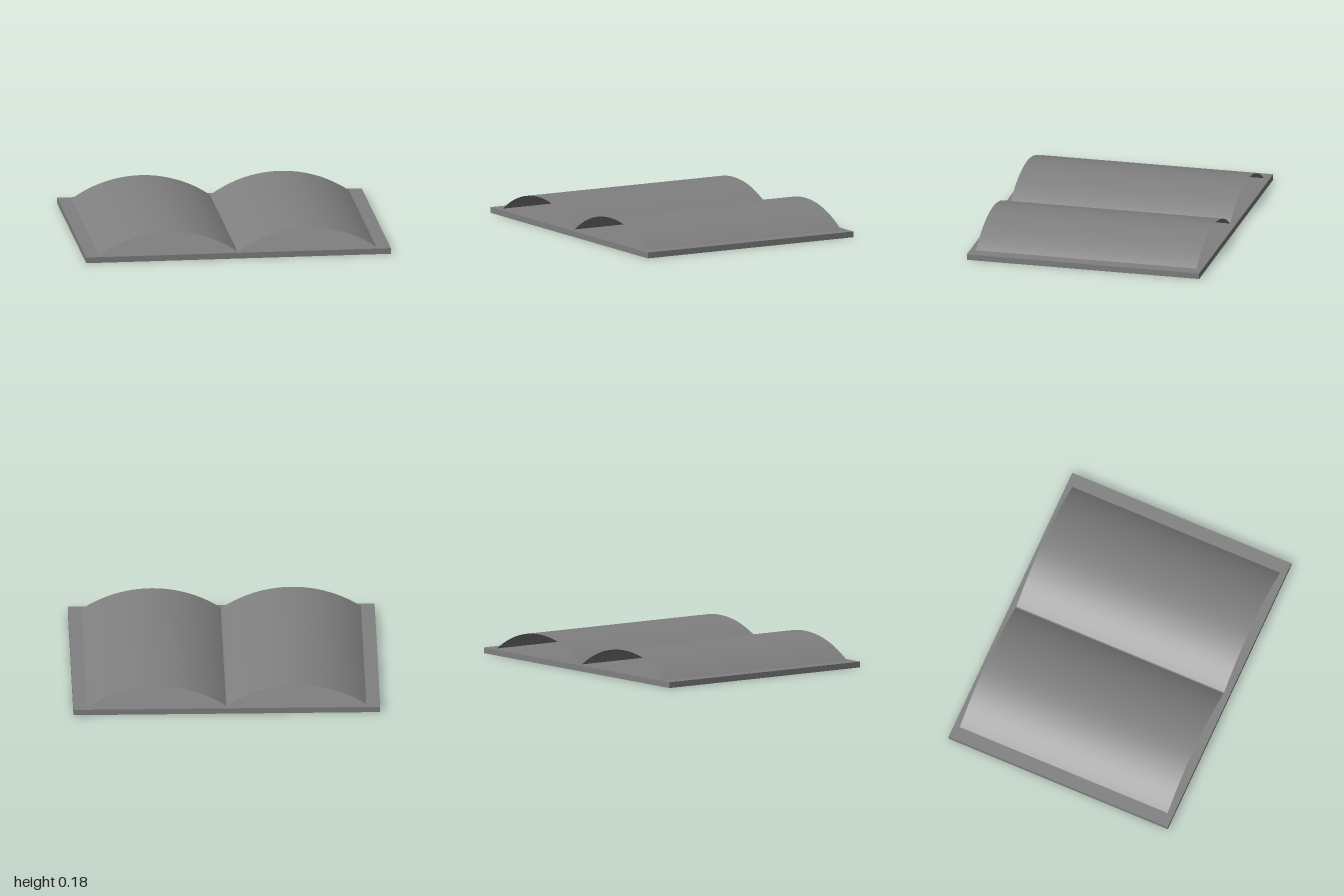
import * as THREE from 'three';

export function createModel() {
  const group = new THREE.Group();
  group.name = 'openBook';
  const material = new THREE.MeshStandardMaterial({ color: 0x808080, side: THREE.DoubleSide });

  // cover: a shallow shell with a top and four rim walls, open underneath
  const thickness = 0.038;
  const shell = new THREE.BoxGeometry(2, thickness, 1.56);
  const faces = Array.from(shell.index.array);
  faces.splice(18, 6); // drop the bottom face
  shell.setIndex(faces);
  shell.clearGroups();
  const cover = new THREE.Mesh(shell, material);
  cover.name = 'cover';
  cover.position.y = thickness / 2;
  group.add(cover);

  // two thin arched page sheets, open at both ends
  const inner = 0.004, outer = 0.91, rise = 0.145, length = 1.48;
  const half = (outer - inner) / 2;
  const radius = (half * half + rise * rise) / (2 * rise);
  const angle = Math.asin(half / radius);
  const arch = new THREE.CylinderGeometry(radius, radius, length, 32, 1, true, -angle, 2 * angle);
  arch.rotateX(-Math.PI / 2);
  for (const side of [1, -1]) {
    const page = new THREE.Mesh(arch, material);
    page.name = side > 0 ? 'leftPages' : 'rightPages';
    page.position.set(side * (inner + half), thickness + rise - radius, 0);
    group.add(page);
  }
  return group;
}
